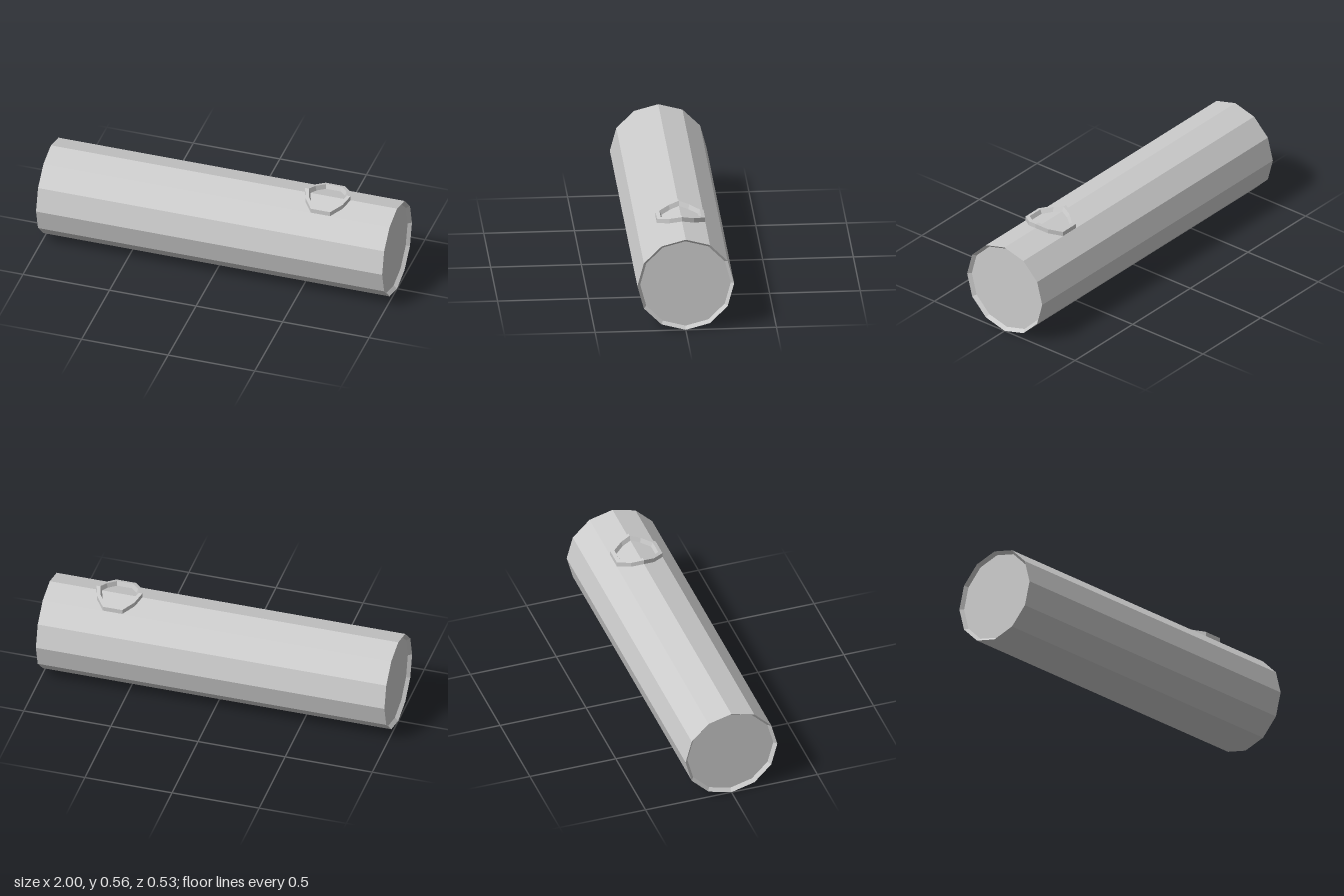
import * as THREE from 'three';

const R = 0.267;
const mat = new THREE.MeshStandardMaterial({ color: 0xcccccc, flatShading: true });

// Height of the two facets either side of the tube's top ridge
const surfaceY = (z) => 2 * R - Math.abs(z) * Math.tan(Math.PI / 12);

// Twelve-sided body lying along x, with shallow bevelled recesses at both ends
function makeBody() {
  const profile = [[0, -0.98], [0.25, -0.98], [R, -1], [R, 1], [0.25, 0.98], [0, 0.98]]
    .map(([r, y]) => new THREE.Vector2(r, y));
  const geo = new THREE.LatheGeometry(profile, 12);
  geo.rotateZ(-Math.PI / 2);
  geo.translate(0, R, 0);
  const mesh = new THREE.Mesh(geo, mat);
  mesh.name = 'tubeBody';
  return mesh;
}

// Ten-sided collar that follows the top facets of the body
function makeCollar() {
  const q = [[0.131, 0], [0.108, 0.067], [0.056, 0.133]];
  const half = [...q, ...q.slice().reverse().map(([x, z]) => [-x, z])];
  const outline = [...half, ...half.slice(1, -1).reverse().map(([x, z]) => [x, -z])];
  // [scale, height above body]: outer foot, outer rim, inner rim, inner foot
  const section = [[1, -0.003], [1, 0.026], [0.84, 0.026], [0.75, -0.003]];
  const n = outline.length;
  const pos = [];
  const index = [];
  for (const [s, h] of section) {
    for (const [x, z] of outline) pos.push(0.6 + x * s, surfaceY(z * s) + h, z * s);
  }
  for (let k = 0; k < section.length - 1; k++) {
    for (let i = 0; i < n; i++) {
      const j = (i + 1) % n;
      const a = k * n + i, b = k * n + j;
      index.push(a, a + n, b, b, a + n, b + n);
    }
  }
  const geo = new THREE.BufferGeometry();
  geo.setAttribute('position', new THREE.Float32BufferAttribute(pos, 3));
  geo.setIndex(index);
  geo.computeVertexNormals();
  const mesh = new THREE.Mesh(geo, mat);
  mesh.name = 'topCollar';
  return mesh;
}

export function createModel() {
  const group = new THREE.Group();
  group.name = 'tube';
  group.add(makeBody(), makeCollar());
  return group;
}
